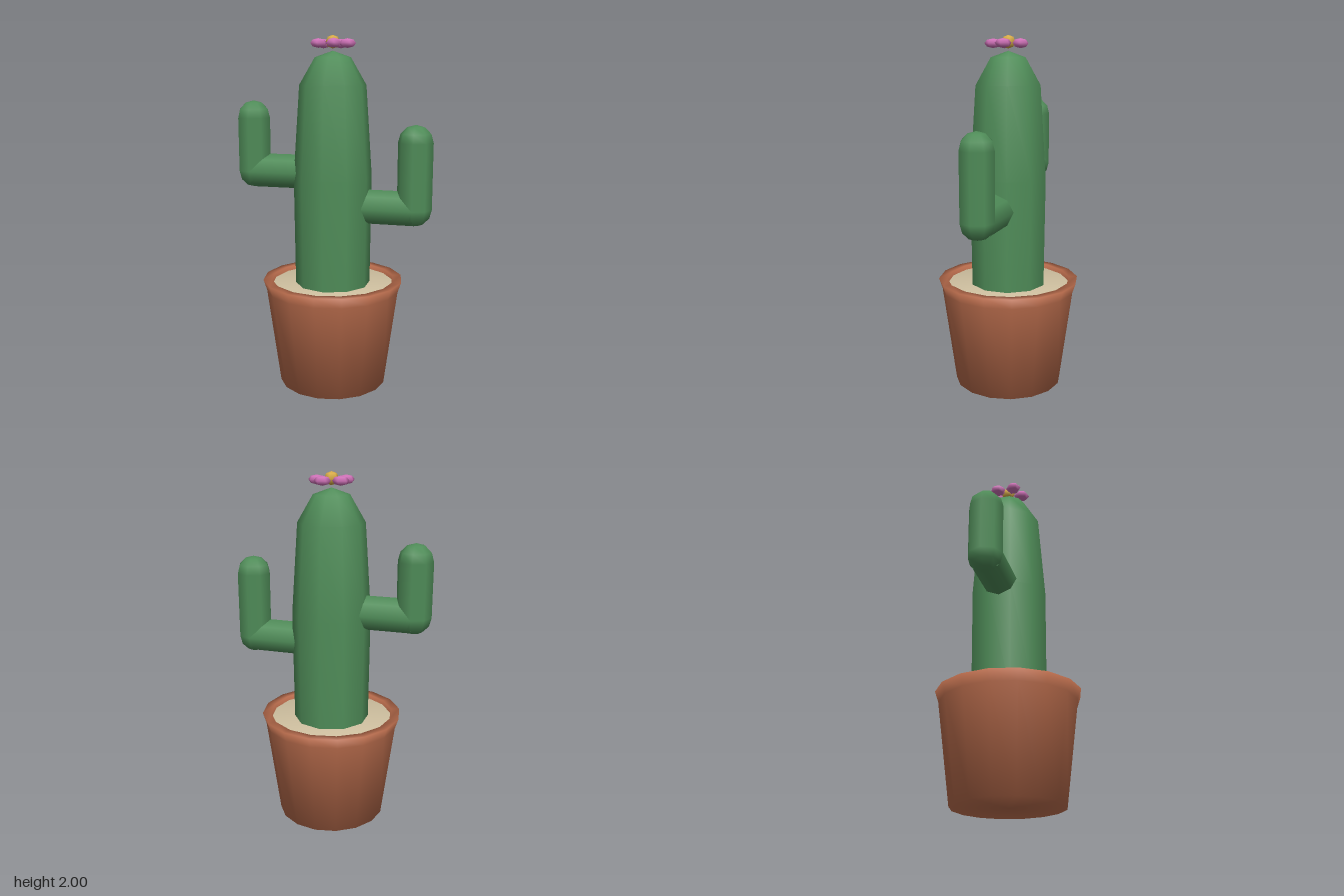
import * as THREE from 'three';

const paint = (color) => new THREE.MeshStandardMaterial({ color });
const green = paint(0x4f8c58);
const terracotta = paint(0xb96c4c);
const sand = paint(0xcfc0a0);
const pink = paint(0xcf72b8);
const yellow = paint(0xd8ac48);

function add(parent, name, geometry, material, x = 0, y = 0, z = 0) {
  const mesh = new THREE.Mesh(geometry, material);
  mesh.name = name;
  mesh.position.set(x, y, z);
  parent.add(mesh);
  return mesh;
}

// Profile of [radius, height] pairs turned around the y axis
function turned(profile, sides) {
  return new THREE.LatheGeometry(profile.map(([r, y]) => new THREE.Vector2(r, y)), sides);
}

// Side arm: a horizontal stub, then an upright rounded branch
function createArm(name, side, reach, elbowY, topY) {
  const arm = new THREE.Group();
  arm.name = name;
  const radius = 0.098;
  const start = 0.17;

  const stub = add(arm, 'armStub', new THREE.CylinderGeometry(radius, radius, reach - start, 8),
    green, side * (start + reach) / 2, elbowY);
  stub.rotation.z = Math.PI / 2;

  const length = topY - radius - elbowY;
  add(arm, 'armBranch', new THREE.CapsuleGeometry(radius, length, 3, 8),
    green, side * reach, elbowY + length / 2);
  return arm;
}

// Five flattened petals around a round centre
function createFlower() {
  const flower = new THREE.Group();
  flower.name = 'flower';
  flower.position.y = 1.955;
  const petalShape = new THREE.SphereGeometry(1, 6, 4).scale(0.048, 0.026, 0.045);
  for (let i = 0; i < 5; i++) {
    const angle = (i / 5) * Math.PI * 2;
    const petal = add(flower, 'petal', petalShape, pink,
      Math.cos(angle) * 0.083, 0, Math.sin(angle) * 0.083);
    petal.rotation.y = -angle;
  }
  const centre = add(flower, 'flowerCentre',
    new THREE.SphereGeometry(0.041, 6, 4).scale(1, 0.9, 1), yellow, 0, 0.008);
  centre.rotation.y = Math.PI / 6;
  return flower;
}

export function createModel() {
  const model = new THREE.Group();
  model.name = 'pottedCactus';

  // Pot with flared rim
  add(model, 'pot', turned([
    [0, 0], [0.31, 0], [0.385, 0.56], [0.405, 0.62], [0.355, 0.62], [0.345, 0.56],
  ], 16), terracotta);

  // Soil, softly shaded towards the edge
  add(model, 'soil', turned([[0.358, 0.5], [0.358, 0.595], [0, 0.595]], 16), sand);

  // Tapered trunk
  add(model, 'trunk', turned([
    [0.215, 0.55], [0.222, 1.22], [0.187, 1.73], [0.1, 1.88], [0, 1.915],
  ], 10), green);

  model.add(createArm('leftArm', 1, 0.47, 1.053, 1.52));
  model.add(createArm('rightArm', -1, 0.472, 1.238, 1.64));
  model.add(createFlower());
  return model;
}
